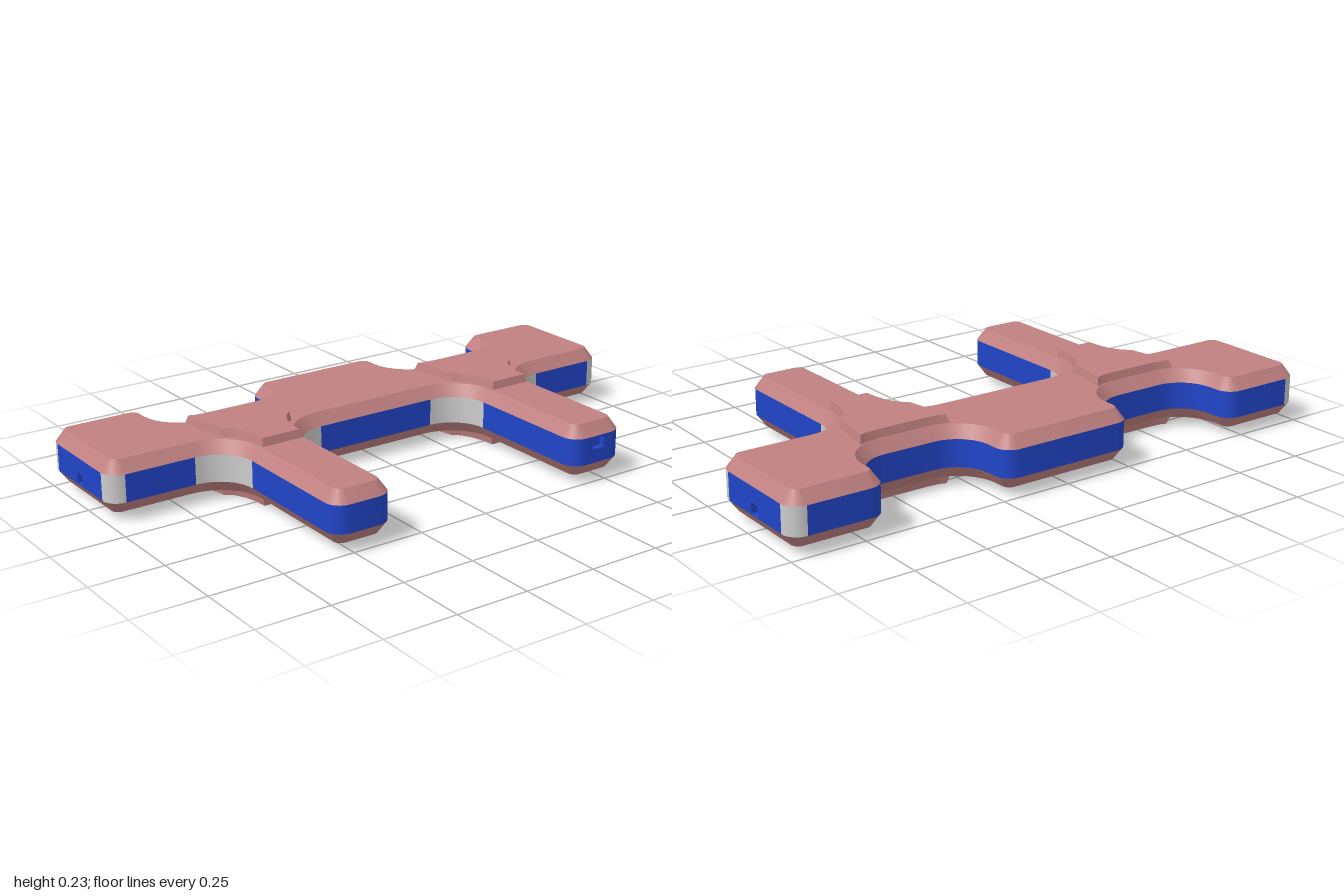
import * as THREE from 'three';
import { toCreasedNormals } from 'three/addons/utils/BufferGeometryUtils.js';

const MID = 0.1175;       // height of the symmetry plane
const BAND = 0.0465;      // half height of the coloured side band
const FACE = 0.0875;      // half thickness at the flat faces
const PAD = 0.115;        // half thickness at the raised joints
const JOINT_X = 0.4625;

const pink = new THREE.MeshStandardMaterial({ color: 0xc08080 });
const blue = new THREE.MeshStandardMaterial({ color: 0x2145c8 });
const grey = new THREE.MeshStandardMaterial({ color: 0xcccccc });

// Outline corners [x, z, radius, grey arc], right half from back to front
const HALF = [
  [0.25, -0.505, 0.055], [0.25, -0.3, 0.12], [0.675, -0.3, 0.12], [0.675, -0.505, 0.055],
  [1, -0.505, 0.055, true], [1, -0.09, 0.055, true], [0.57, -0.09, 0.13, true],
  [0.57, 0.505, 0.055], [0.355, 0.505, 0.055], [0.355, -0.09, 0.13, true],
];

const mirrored = (half) => [...half, ...half.map(([x, ...rest]) => [-x, ...rest]).reverse()];

// Rounds every right-angled corner; each point knows if its next segment is grey
function roundedOutline(corners, steps = 8) {
  const pts = [];
  corners.forEach(([x, z, r, isGrey], i) => {
    const n = corners.length;
    const prev = corners[(i + n - 1) % n], next = corners[(i + 1) % n];
    const d1 = new THREE.Vector2(prev[0] - x, prev[1] - z).normalize();
    const d2 = new THREE.Vector2(next[0] - x, next[1] - z).normalize();
    for (let s = 0; s <= steps; s++) {
      const t = (s / steps) * Math.PI / 2;
      const a = r * (1 - Math.sin(t)), b = r * (1 - Math.cos(t));
      const p = new THREE.Vector2(x, z).addScaledVector(d1, a).addScaledVector(d2, b);
      p.isGrey = !!isGrey && s < steps;
      pts.push(p);
    }
  });
  return pts;
}

// Moves a loop inward by d with mitred corners
function inset(pts, d) {
  const n = pts.length;
  const normal = (a, b) => new THREE.Vector2(a.y - b.y, b.x - a.x).normalize();
  return pts.map((p, i) => {
    const n1 = normal(pts[(i + n - 1) % n], p), n2 = normal(p, pts[(i + 1) % n]);
    return p.clone().addScaledVector(n1.clone().add(n2), d / (1 + n1.dot(n2)));
  });
}

// Side wall between two matching loops, limited to the segments that pass keep
function wall(lo, yLo, hi, yHi, keep = () => true) {
  const pos = [];
  lo.forEach((a, i) => {
    const j = (i + 1) % lo.length;
    if (!keep(a, lo[j])) return;
    const A = [a.x, yLo, a.y], B = [lo[j].x, yLo, lo[j].y];
    const C = [hi[j].x, yHi, hi[j].y], D = [hi[i].x, yHi, hi[i].y];
    pos.push(...A, ...D, ...C, ...A, ...C, ...B);
  });
  const g = new THREE.BufferGeometry();
  g.setAttribute('position', new THREE.Float32BufferAttribute(pos, 3));
  return toCreasedNormals(g, 0.5);
}

// Flat upward face filling a loop
function cap(pts, y) {
  const shape = new THREE.Shape(pts.map((p) => new THREE.Vector2(p.x, -p.y)));
  return new THREE.ShapeGeometry(shape).rotateX(-Math.PI / 2).translate(0, y, 0);
}

function add(parent, name, geometry, material) {
  const mesh = new THREE.Mesh(geometry, material);
  mesh.name = name;
  parent.add(mesh);
  return mesh;
}

// Straight stretch of band with a small recessed socket
function socketWall(a, b, y, w, h) {
  const group = new THREE.Group();
  group.name = 'socketWall';
  const half = a.distanceTo(b) / 2, depth = 0.02;
  const rect = (P, hw, hh, cy) => new P([[-hw, -hh], [hw, -hh], [hw, hh], [-hw, hh]]
    .map(([px, py]) => new THREE.Vector2(px, py + cy)));
  const shape = rect(THREE.Shape, half, BAND, 0);
  shape.holes.push(rect(THREE.Path, w / 2, h / 2, y));
  const plate = new THREE.ExtrudeGeometry(shape, { depth, bevelEnabled: false });
  add(group, 'socketPlate', plate.translate(0, 0, -depth), blue);
  add(group, 'socketFloor', new THREE.PlaneGeometry(w, h).translate(0, y, -depth), blue);
  group.position.set((a.x + b.x) / 2, MID, (a.y + b.y) / 2);
  group.rotation.y = Math.atan2(b.y - a.y, a.x - b.x);
  return group;
}

export function createModel() {
  const model = new THREE.Group();
  model.name = 'body';
  const outline = roundedOutline(mirrored(HALF));
  const faceLoop = inset(outline, 0.03);

  // Upper cover: chamfer and flat face
  const cover = new THREE.Group();
  cover.name = 'upperCover';
  add(cover, 'coverChamfer', wall(outline, BAND, faceLoop, FACE), pink);
  add(cover, 'coverFace', cap(faceLoop, FACE), pink);

  // Raised pads over the two joints
  const padHalf = [[0.09, -0.268], [0.135, -0.272], [0.165, -0.283], [0.135, -0.108],
    [0.108, -0.085], [0.088, -0.045], [0.078, 0], [0.075, 0.05]];
  for (const side of [-1, 1]) {
    const base = mirrored(padHalf).map(([u, z]) => new THREE.Vector2(u + side * JOINT_X, z));
    const top = inset(base, 0.007);
    add(cover, 'jointPadSide', wall(base, FACE - 0.004, top, PAD), pink);
    add(cover, 'jointPadFace', cap(top, PAD), pink);
  }
  cover.position.y = MID;
  model.add(cover);

  // Lower cover is the same part turned over
  const lower = cover.clone();
  lower.name = 'lowerCover';
  lower.rotation.z = Math.PI;
  model.add(lower);

  // Side band, with grey corner pieces and socket walls
  const isWingEnd = (a, b) => Math.abs(a.x + b.x) > 1.99 && a.distanceTo(b) > 0.2;
  const isLegEnd = (a, b) => a.y + b.y > 1.005 && a.x > 0 && a.distanceTo(b) > 0.05;
  const isSocket = (a, b) => isWingEnd(a, b) || isLegEnd(a, b);
  const yLo = MID - BAND, yHi = MID + BAND;
  add(model, 'sideBand', wall(outline, yLo, outline, yHi, (a, b) => !a.isGrey && !isSocket(a, b)), blue);
  add(model, 'cornerBand', wall(outline, yLo, outline, yHi, (a) => a.isGrey), grey);
  outline.forEach((a, i) => {
    const b = outline[(i + 1) % outline.length];
    if (isWingEnd(a, b)) model.add(socketWall(a, b, -0.025, 0.04, 0.036));
    else if (isLegEnd(a, b)) model.add(socketWall(a, b, 0.02, 0.045, 0.036));
  });
  return model;
}
